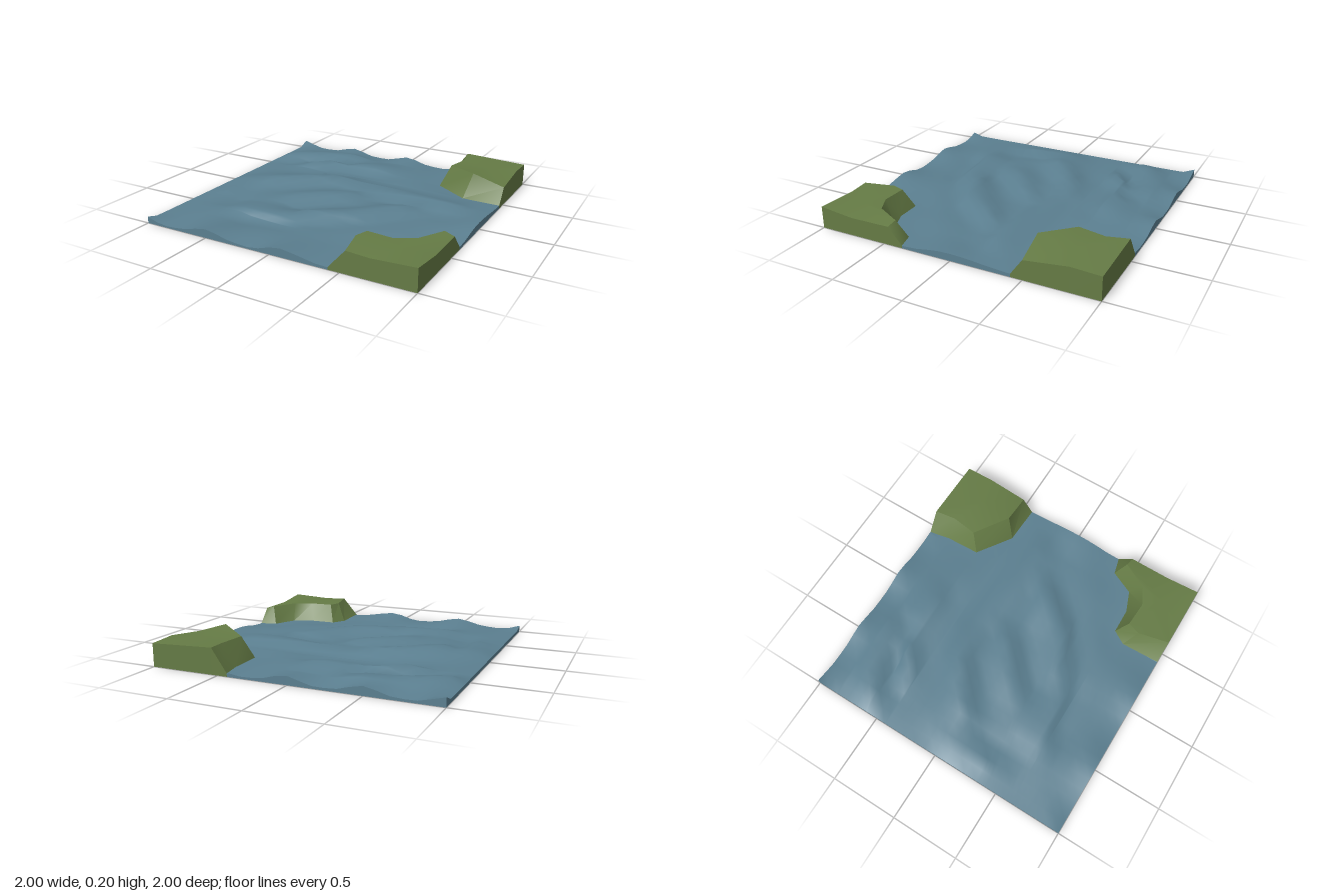
import * as THREE from 'three';
import { toCreasedNormals } from 'three/addons/utils/BufferGeometryUtils.js';

// Wave crests: [height, x, z, x, z, ...]
const crests = [
  [0.07, -0.9, -0.63, -0.65, -0.75, -0.4, -0.8],
  [0.078, -0.62, -0.5, -0.4, -0.64, -0.05, -0.63],
  [0.09, -0.65, 0.02, -0.3, -0.25, -0.15, -0.27],
  [0.075, -0.15, -0.27, 0.7, -0.16],
  [0.075, -0.3, 0.2, 0, -0.05],
  [0.077, -0.05, 0.44, 0.25, 0.27, 0.5, -0.04],
  [0.065, -0.5, 0.55, -0.2, 0.52],
  [0.068, -0.88, 0.05, -0.8, 0.3],
];

// Feet of the two banks (x, z)
const backFoot = [[0.43, -1], [0.46, -0.85], [0.47, -0.6], [0.72, -0.43], [1, -0.42]];
const frontFoot = [[1, 0.36], [0.88, 0.39], [0.8, 0.56], [0.65, 0.618], [0.47, 0.622], [0.41, 0.72], [0.42, 1]];
const shore = [...backFoot, ...frontFoot];

// Each crest has a trough beside it; borders and bank feet have their own levels
const troughs = crests.map(([y, ...xz]) => [y - 0.05, ...xz.map((v, i) => v + (i % 2 ? 0.13 : 0.08))]);
const contours = [...crests, ...troughs,
  [0.03, -0.85, -0.34, -0.5, -0.38, 0.9, -0.36], [0.023, -1, -0.9, -1, 0.9], [0.05, 1, 0],
  [0.022, ...backFoot.flat()], [0.018, ...frontFoot.flat()]];
for (const [z, period] of [[-1, 0.52], [1, 0.6]]) {
  for (let x = -1; x < 0.4; x += 0.1) {
    contours.push([0.034 + 0.027 * Math.cos(2 * Math.PI * (x + 0.5) / period), x, z]);
  }
}

// Distance from a point to a line stored as [height, x, z, ...]
function distanceTo(line, x, z) {
  let best = Math.hypot(x - line[1], z - line[2]);
  for (let i = 1; i + 3 < line.length; i += 2) {
    const [ax, az, bx, bz] = line.slice(i, i + 4);
    const dx = bx - ax, dz = bz - az;
    const t = THREE.MathUtils.clamp(((x - ax) * dx + (z - az) * dz) / (dx * dx + dz * dz), 0, 1);
    best = Math.min(best, Math.hypot(x - ax - t * dx, z - az - t * dz));
  }
  return best;
}

// Water height: blend of all lines, the nearest counting most
function waterHeight(x, z) {
  let sum = 0, total = 0;
  for (const line of contours) {
    const w = 1 / (distanceTo(line, x, z) + 0.02) ** 3;
    sum += w * line[0];
    total += w;
  }
  return sum / total;
}

// x of the water's +x edge at a given z
function shoreX(z) {
  const i = Math.max(1, shore.findIndex((p) => z <= p[1]));
  const [ax, az] = shore[i - 1], [bx, bz] = shore[i];
  return ax + (bx - ax) * (z - az) / (bz - az);
}

function bufferFrom(positions, index) {
  const geometry = new THREE.BufferGeometry();
  geometry.setAttribute('position', new THREE.Float32BufferAttribute(positions.flat(), 3));
  geometry.setIndex(index);
  geometry.computeVertexNormals();
  return geometry;
}

function meshFrom(name, geometry, color) {
  const material = new THREE.MeshStandardMaterial({ color, side: THREE.DoubleSide });
  const mesh = new THREE.Mesh(geometry, material);
  mesh.name = name;
  return mesh;
}

// Vertical faces from a path of points down to the ground
function wallTriangles(path) {
  const out = [];
  for (let i = 0; i + 1 < path.length; i++) {
    const p = path[i], q = path[i + 1];
    const p0 = [p[0], 0, p[2]], q0 = [q[0], 0, q[2]];
    out.push(p0, q0, q, p0, q, p);
  }
  return out;
}

function createWater(color) {
  const group = new THREE.Group();
  group.name = 'water';
  const cols = 24, points = [], index = [];
  const zs = shore.map((p) => p[1]);
  for (let i = 0; i <= cols; i++) zs.push(-1 + 2 * i / cols);
  const rows = [...new Set(zs)].sort((a, b) => a - b);
  rows.forEach((z, r) => {
    const end = shoreX(z);
    for (let c = 0; c <= cols; c++) {
      // Columns beyond the shore gather on it
      const x = Math.min(-1 + 2 * c / cols, end);
      points.push([x, waterHeight(x, z), z]);
      if (r + 1 < rows.length && c < cols) {
        const a = r * (cols + 1) + c, b = a + cols + 1;
        index.push(a, b, a + 1, a + 1, b, b + 1);
      }
    }
  });
  group.add(meshFrom('waterSurface', bufferFrom(points, index), color));

  // Skirt along the outer borders
  const left = points.filter((p, i) => i % (cols + 1) === 0);
  const right = points.filter((p, i) => i % (cols + 1) === cols && p[0] > 0.999).reverse();
  const back = points.slice(0, cols + 1).reverse();
  const front = points.slice(-cols - 1);
  const skirt = [left, front, right, back].flatMap(wallTriangles);
  group.add(meshFrom('waterSkirt', bufferFrom(skirt, null), color));
  return group;
}

// Bank: slope from foot to rim, grassy top, vertical outer walls
function createBank(name, footXZ, rim, border, centre, color) {
  const foot = footXZ.map(([x, z]) => [x, waterHeight(x, z), z]);
  const triangles = [];
  for (let i = 0; i + 1 < foot.length; i++) {
    triangles.push(foot[i], foot[i + 1], rim[i + 1], foot[i], rim[i + 1], rim[i]);
  }
  const loop = [...rim, ...border];
  loop.forEach((p, i) => triangles.push(centre, p, loop[(i + 1) % loop.length]));
  triangles.push(...wallTriangles([foot.at(-1), rim.at(-1), ...border, rim[0], foot[0]]));
  return meshFrom(name, toCreasedNormals(bufferFrom(triangles, null), 0.6), color);
}

export function createModel() {
  const model = new THREE.Group();
  model.name = 'riverTile';
  const green = 0x657b45;
  model.add(createWater(0x5b7f90));
  model.add(createBank('backBank', backFoot,
    [[0.54, 0.178, -1], [0.565, 0.17, -0.85], [0.535, 0.178, -0.66], [0.77, 0.205, -0.49], [1, 0.135, -0.5]],
    [[1, 0.17, -0.8], [1, 0.16, -1]],
    [0.79, 0.178, -0.75], green));
  model.add(createBank('frontBank', frontFoot,
    [[1, 0.13, 0.46], [0.93, 0.148, 0.45], [0.83, 0.15, 0.635], [0.7, 0.148, 0.7],
      [0.52, 0.152, 0.69], [0.49, 0.152, 0.78], [0.54, 0.152, 1]],
    [[0.7, 0.142, 1], [1, 0.155, 1], [1, 0.127, 0.75]],
    [0.8, 0.15, 0.8], green));
  return model;
}
